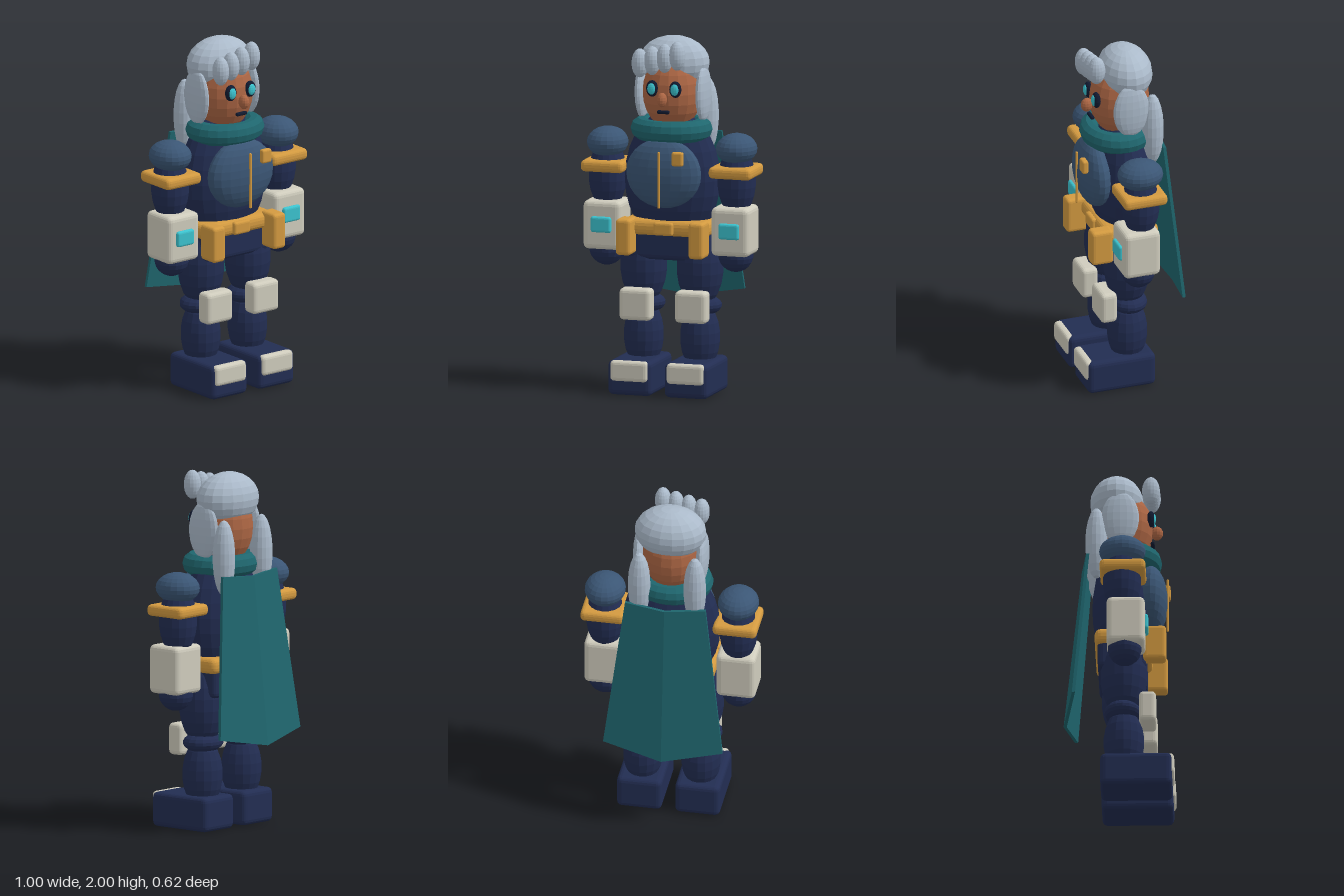
import * as THREE from 'three';
import { RoundedBoxGeometry } from 'three/addons/geometries/RoundedBoxGeometry.js';

export function createModel() {
  const model = new THREE.Group();
  model.name = 'capedFigure';

  const material = (name, color, flatShading = true) => {
    const m = new THREE.MeshStandardMaterial({ color, flatShading });
    m.name = name;
    return m;
  };
  const navy = material('navySuit', 0x222d52);
  const blue = material('slateBlue', 0x3b5675);
  const gold = material('gold', 0xd39a40);
  const teal = material('teal', 0x1f666e);
  const cream = material('cream', 0xcfccbd);
  const cyan = material('cyan', 0x3cc3cf);
  const silver = material('silverHair', 0xabbaca);
  const skin = material('skin', 0xac6644);
  const dark = material('darkFeatures', 0x111a30);

  const add = (name, geometry, mat, [x, y, z]) => {
    const mesh = new THREE.Mesh(geometry, mat);
    mesh.name = name;
    mesh.position.set(x, y, z);
    model.add(mesh);
    return mesh;
  };
  // Faceted ellipsoid from centre and radii
  const blob = (name, mat, centre, radii, w = 16, h = 11) =>
    add(name, new THREE.SphereGeometry(1, w, h).scale(...radii), mat, centre);
  // Rounded box from centre and full size
  const block = (name, mat, centre, size, radius = 0.02) =>
    add(name, new RoundedBoxGeometry(...size, 2, Math.min(radius, Math.min(...size) * 0.45)), mat, centre);
  // Same part on the left (+x) and right (-x)
  const pair = (make, name, mat, [x, y, z], ...rest) => {
    make(name + 'Left', mat, [x, y, z], ...rest);
    make(name + 'Right', mat, [-x, y, z], ...rest);
  };

  // Legs
  pair(block, 'boot', navy, [0.165, 0.0975, 0.1], [0.255, 0.195, 0.4], 0.03);
  pair(block, 'toePlate', cream, [0.165, 0.138, 0.285], [0.22, 0.117, 0.055], 0.022);
  pair(blob, 'shin', navy, [0.165, 0.31, 0.03], [0.112, 0.2, 0.114]);
  pair(blob, 'knee', navy, [0.165, 0.49, 0.025], [0.123, 0.06, 0.106]);
  pair(block, 'kneePad', cream, [0.163, 0.5, 0.163], [0.185, 0.18, 0.096], 0.025);
  pair(blob, 'thigh', navy, [0.165, 0.71, 0.03], [0.132, 0.24, 0.132]);

  // Hips and belt
  block('pelvis', navy, [0, 0.85, 0.02], [0.46, 0.2, 0.27], 0.03);
  block('belt', gold, [0, 0.935, 0.025], [0.51, 0.09, 0.315], 0.035);
  block('buckle', gold, [0, 0.935, 0.185], [0.115, 0.075, 0.035], 0.015);
  pair(block, 'pouch', gold, [0.213, 0.888, 0.203], [0.088, 0.205, 0.128], 0.02);

  // Torso
  blob('torso', navy, [0, 1.2, 0.02], [0.277, 0.385, 0.17], 20, 14);
  blob('chestPlate', blue, [0, 1.25, 0.178], [0.22, 0.197, 0.093], 20, 14);
  block('zip', gold, [0, 1.225, 0.27], [0.014, 0.32, 0.014], 0.005);
  block('badge', gold, [0.11, 1.35, 0.266], [0.066, 0.08, 0.036], 0.012);
  const collar = new THREE.TorusGeometry(0.17, 0.062, 10, 24).rotateX(Math.PI / 2).scale(1, 1, 0.87);
  add('collar', collar, teal, [0, 1.483, 0.038]);

  // Arms
  pair(blob, 'shoulder', blue, [0.378, 1.385, 0.027], [0.115, 0.087, 0.13], 20, 12);
  pair(blob, 'upperArm', navy, [0.378, 1.2, 0.025], [0.108, 0.2, 0.106]);
  pair(block, 'armBand', gold, [0.375, 1.26, 0.03], [0.25, 0.066, 0.256], 0.025);
  pair(block, 'gauntlet', cream, [0.375, 0.928, 0.047], [0.222, 0.276, 0.214], 0.03);
  pair(block, 'screen', cyan, [0.375, 0.935, 0.156], [0.12, 0.09, 0.032], 0.014);
  pair(blob, 'hand', navy, [0.378, 0.785, 0.04], [0.099, 0.095, 0.095]);

  // Head and face
  blob('head', skin, [0, 1.69, 0.02], [0.167, 0.22, 0.17], 18, 12);
  pair(blob, 'eye', dark, [0.068, 1.727, 0.178], [0.036, 0.047, 0.024], 14, 8);
  pair(blob, 'iris', cyan, [0.068, 1.727, 0.193], [0.025, 0.033, 0.014], 12, 8);
  blob('nose', skin, [0, 1.67, 0.21], [0.028, 0.041, 0.035], 12, 8);
  block('mouth', dark, [0, 1.597, 0.187], [0.072, 0.02, 0.022], 0.008);

  // Hair
  blob('hairCap', silver, [0, 1.85, -0.013], [0.203, 0.15, 0.15], 18, 12);
  pair(blob, 'sideLock', silver, [0.178, 1.685, 0.01], [0.034, 0.16, 0.105]);
  pair(blob, 'backLock', silver, [0.158, 1.54, -0.123], [0.064, 0.215, 0.063]);
  for (let i = 0; i < 4; i++) {
    blob('fringeCurl' + (i + 1), silver, [-0.14 + i * 0.073, 1.868 + i * 0.0165, 0.18], [0.046, 0.082, 0.05]);
  }

  // Cape: a two-panel slab, flaring downward and bent along the centre
  const cape = new THREE.BoxGeometry(2, 1, 1, 2, 1, 1);
  const p = cape.attributes.position;
  for (let i = 0; i < p.count; i++) {
    const side = p.getX(i), mid = 1 - Math.abs(side), low = p.getY(i) < 0;
    const x = side * (low ? 0.338 : 0.228);
    const y = low ? 0.545 - 0.06 * mid : 1.447 - 0.015 * mid;
    const z = (low ? -0.247 - 0.055 * mid : -0.17 - 0.03 * mid) + p.getZ(i) * 0.018;
    p.setXYZ(i, x, y, z);
  }
  cape.computeVertexNormals();
  add('cape', cape, teal, [0, 0, 0]);

  return model;
}
